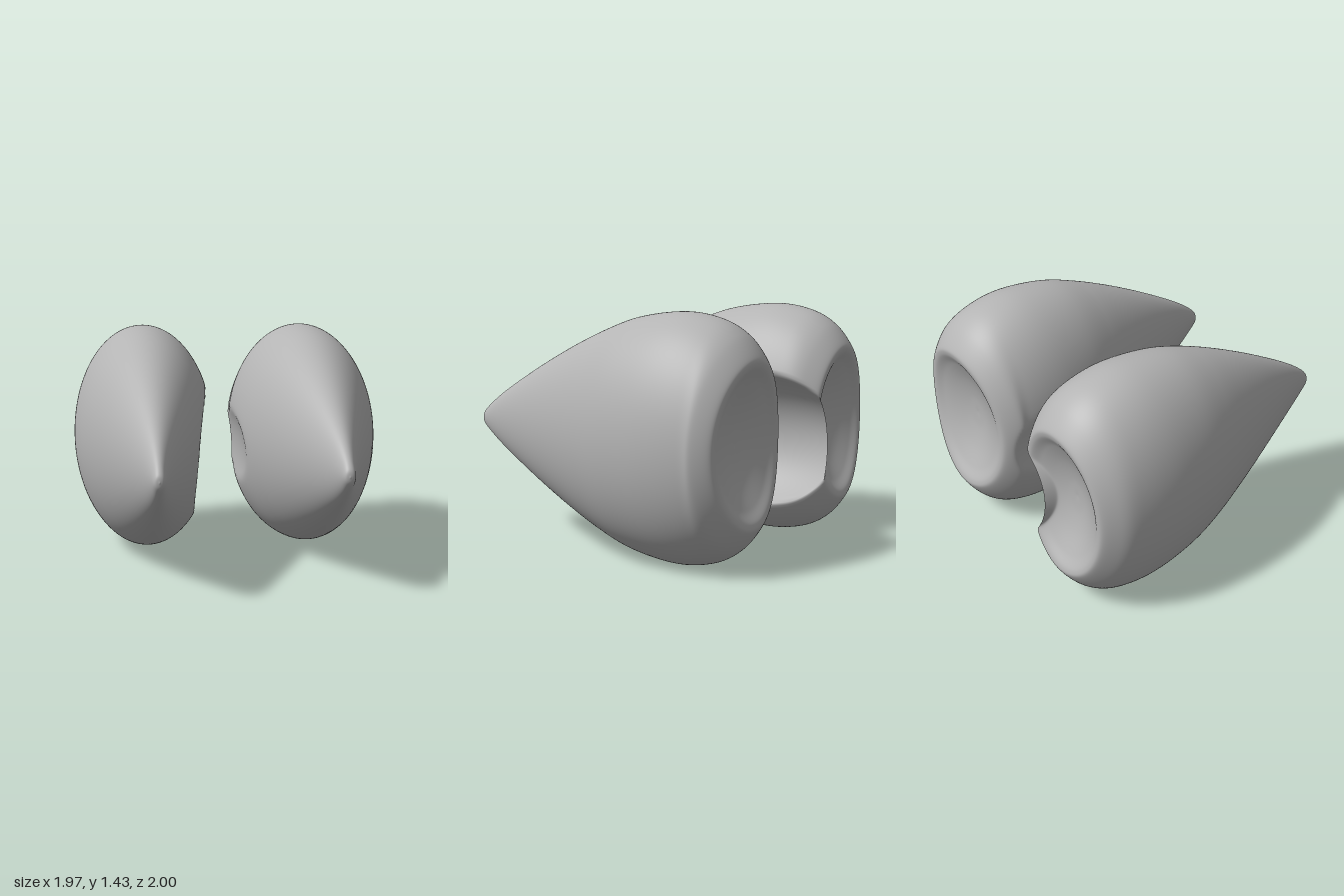
import * as THREE from 'three';
import { mergeVertices } from 'three/addons/utils/BufferGeometryUtils.js';

// Cross-sections from the pointed tip to the floor of the rear dish: half width, half height, z
const sections = [
  [0, 0, 1], [0.03, 0.045, 0.985], [0.052, 0.105, 0.92], [0.092, 0.19, 0.8],
  [0.165, 0.31, 0.6], [0.24, 0.42, 0.4], [0.312, 0.52, 0.2], [0.38, 0.607, 0],
  [0.434, 0.674, -0.2], [0.465, 0.71, -0.42], [0.468, 0.712, -0.6],
  [0.45, 0.673, -0.77], [0.42, 0.6, -0.89], [0.362, 0.495, -0.975],
  [0.315, 0.44, -0.985], [0.25, 0.36, -0.94], [0.16, 0.24, -0.888],
  [0.08, 0.12, -0.858], [0, 0, -0.848],
];
const profile = new THREE.CatmullRomCurve3(
  sections.map((s) => new THREE.Vector3(...s)), false, 'catmullrom', 0.5);

// Closed teardrop pod; hollow is an ellipsoid scooped out of its inner side
function podGeometry({ centre, side, width, backScale, flare, dip, hollow }) {
  const geo = new THREE.PlaneGeometry(1, 1, 170, 180);
  const pos = geo.attributes.position;
  const p = new THREE.Vector3();
  const [hx, hy, hz] = hollow.at, [rx, ry, rz] = hollow.radii;
  for (let i = 0; i < pos.count; i++) {
    const angle = (pos.getX(i) + 0.5) * Math.PI * 2;
    const t = THREE.MathUtils.clamp(0.5 - pos.getY(i), 0, 1);
    profile.getPoint(t, p);
    // Towards the rear the rim widens and dips forward at its left and right
    const rear = THREE.MathUtils.smoothstep(-p.z, 0.75, 0.98);
    const across = p.x * Math.cos(angle);
    let x = centre + across * width * (1 + flare * rear);
    const y = 0.72 + p.y * Math.sin(angle);
    let z = p.z + dip * rear * (across / 0.36) ** 2;
    if (z < 0) z *= backScale;
    // Press points inside the hollow back onto its wall, easing the edge slightly
    const k = 1 - ((y - hy) / ry) ** 2 - ((z - hz) / rz) ** 2;
    if (k > 0) {
      const depth = side * (hx + side * rx * Math.sqrt(k) - x);
      x += side * (depth + Math.hypot(depth, 0.012)) / 2;
    }
    pos.setXYZ(i, x, y, z);
  }
  geo.deleteAttribute('uv');
  geo.deleteAttribute('normal');
  const welded = mergeVertices(geo, 1e-5);
  welded.computeVertexNormals();
  return welded;
}

export function createModel() {
  const model = new THREE.Group();
  model.name = 'pairOfPods';
  const grey = new THREE.MeshStandardMaterial({ color: 0xb4b4b4 });
  grey.name = 'plain grey';

  const pods = {
    // Deep hollow breaking through the rear rim
    rightPod: {
      centre: -0.53, side: -1, width: 0.97, backScale: 1.01, flare: 0, dip: 0.04,
      hollow: { at: [0.1, 0.61, -0.5], radii: [0.54, 0.48, 0.93] },
    },
    // Shallow dent only
    leftPod: {
      centre: 0.508, side: 1, width: 1.005, backScale: 0.96, flare: 0.1, dip: 0.07,
      hollow: { at: [-0.1, 0.6, -0.45], radii: [0.21, 0.38, 0.9] },
    },
  };
  for (const [name, options] of Object.entries(pods)) {
    const mesh = new THREE.Mesh(podGeometry(options), grey);
    mesh.name = name;
    model.add(mesh);
  }
  return model;
}
